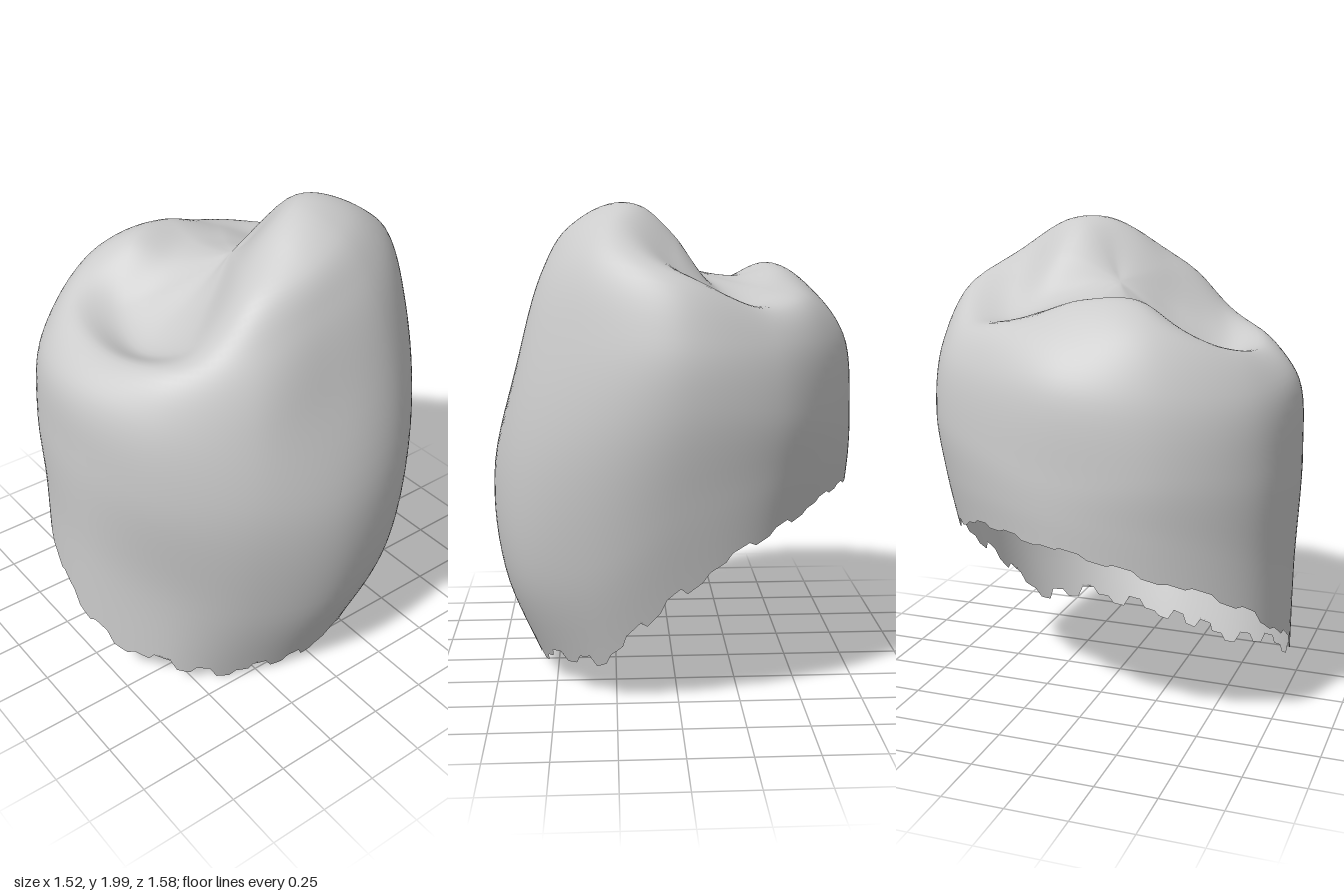
import * as THREE from 'three';
import { mergeVertices } from 'three/addons/utils/BufferGeometryUtils.js';

// Cross-sections every 30 degrees, from +x round through the front (+z).
// Each ring lists radii (one number = constant) and heights.
const RINGS = [
  { // inner slopes of the cusps
    r: 0.25,
    y: [1.92, 1.79, 1.62, 1.56, 1.6, 1.67, 1.69, 1.68, 1.69, 1.86, 1.975, 1.985],
  },
  { // front and back hollows, outer cusp slopes
    r: 0.45,
    y: [1.84, 1.75, 1.54, 1.46, 1.53, 1.72, 1.72, 1.65, 1.61, 1.75, 1.94, 1.92],
  },
  { // rim of the biting surface
    r: [0.54, 0.58, 0.61, 0.61, 0.65, 0.63, 0.6, 0.6, 0.63, 0.66, 0.62, 0.58],
    y: [1.68, 1.58, 1.53, 1.5, 1.54, 1.63, 1.62, 1.61, 1.6, 1.73, 1.8, 1.75],
  },
  { // shoulder
    r: [0.63, 0.68, 0.72, 0.75, 0.78, 0.76, 0.73, 0.7, 0.73, 0.77, 0.72, 0.69],
    y: [1.38, 1.33, 1.36, 1.39, 1.38, 1.4, 1.43, 1.45, 1.47, 1.5, 1.5, 1.42],
  },
  { // widest part
    r: [0.755, 0.745, 0.755, 0.785, 0.82, 0.8, 0.76, 0.735, 0.77, 0.785, 0.765, 0.765],
    y: [0.9, 0.95, 1.02, 1.08, 1.08, 1.1, 1.1, 1.17, 1.22, 1.25, 1.1, 0.95],
  },
  { // lower wall
    r: [0.72, 0.68, 0.69, 0.77, 0.81, 0.79, 0.76, 0.725, 0.74, 0.715, 0.7, 0.73],
    y: [0.45, 0.43, 0.5, 0.6, 0.75, 0.88, 0.95, 0.98, 0.97, 0.86, 0.6, 0.5],
  },
  { // ragged lower edge
    r: [0.57, 0.57, 0.67, 0.765, 0.81, 0.78, 0.75, 0.7, 0.69, 0.63, 0.58, 0.58],
    y: [0.04, 0, 0.06, 0.2, 0.5, 0.7, 0.81, 0.82, 0.72, 0.49, 0.18, 0.11],
  },
];
const CENTRE = new THREE.Vector3(0, 1.745, 0);
const COLS = 144, ROWS = 48;
const NOTCH = [0, 0.12, 0.04, 0.17, 0.07];

function ringCurve({ r, y }) {
  const points = y.map((h, i) => {
    const a = (i / y.length) * Math.PI * 2;
    const radius = Array.isArray(r) ? r[i] : r;
    return new THREE.Vector3(radius * Math.cos(a), h, radius * Math.sin(a));
  });
  return new THREE.CatmullRomCurve3(points, true);
}

function crownGeometry() {
  const curves = RINGS.map(ringCurve);
  const positions = [], index = [];
  const segments = RINGS.length + 1;

  for (let i = 0; i < COLS; i++) {
    const t = i / COLS;
    // Start on the far side of the centre so the middle stays smooth
    const column = new THREE.CatmullRomCurve3([
      curves[0].getPoint((t + 0.5) % 1), CENTRE, ...curves.map((c) => c.getPoint(t)),
    ]);
    for (let j = 0; j <= ROWS; j++) {
      let s = 1 + (j / ROWS) * (segments - 1);
      // Stepped notches along the lower edge
      if (j === ROWS) s -= NOTCH[Math.floor(i / 3) % NOTCH.length];
      const p = column.getPoint(s / segments);
      positions.push(p.x, Math.max(0, p.y), p.z);
    }
  }

  const at = (i, j) => (i % COLS) * (ROWS + 1) + j;
  for (let i = 0; i < COLS; i++) {
    for (let j = 0; j < ROWS; j++) {
      const a = at(i, j), b = at(i + 1, j), c = at(i, j + 1), d = at(i + 1, j + 1);
      if (j > 0) index.push(a, b, c);
      index.push(b, d, c);
    }
  }

  let geometry = new THREE.BufferGeometry();
  geometry.setAttribute('position', new THREE.Float32BufferAttribute(positions, 3));
  geometry.setIndex(index);
  geometry = mergeVertices(geometry, 1e-5);
  geometry.computeVertexNormals();
  return geometry;
}

export function createModel() {
  const group = new THREE.Group();
  group.name = 'toothCrown';
  // Open shell, hollow underneath
  const shell = new THREE.Mesh(
    crownGeometry(),
    new THREE.MeshStandardMaterial({ color: 0xcccccc, side: THREE.DoubleSide }),
  );
  shell.name = 'crownShell';
  group.add(shell);
  return group;
}
